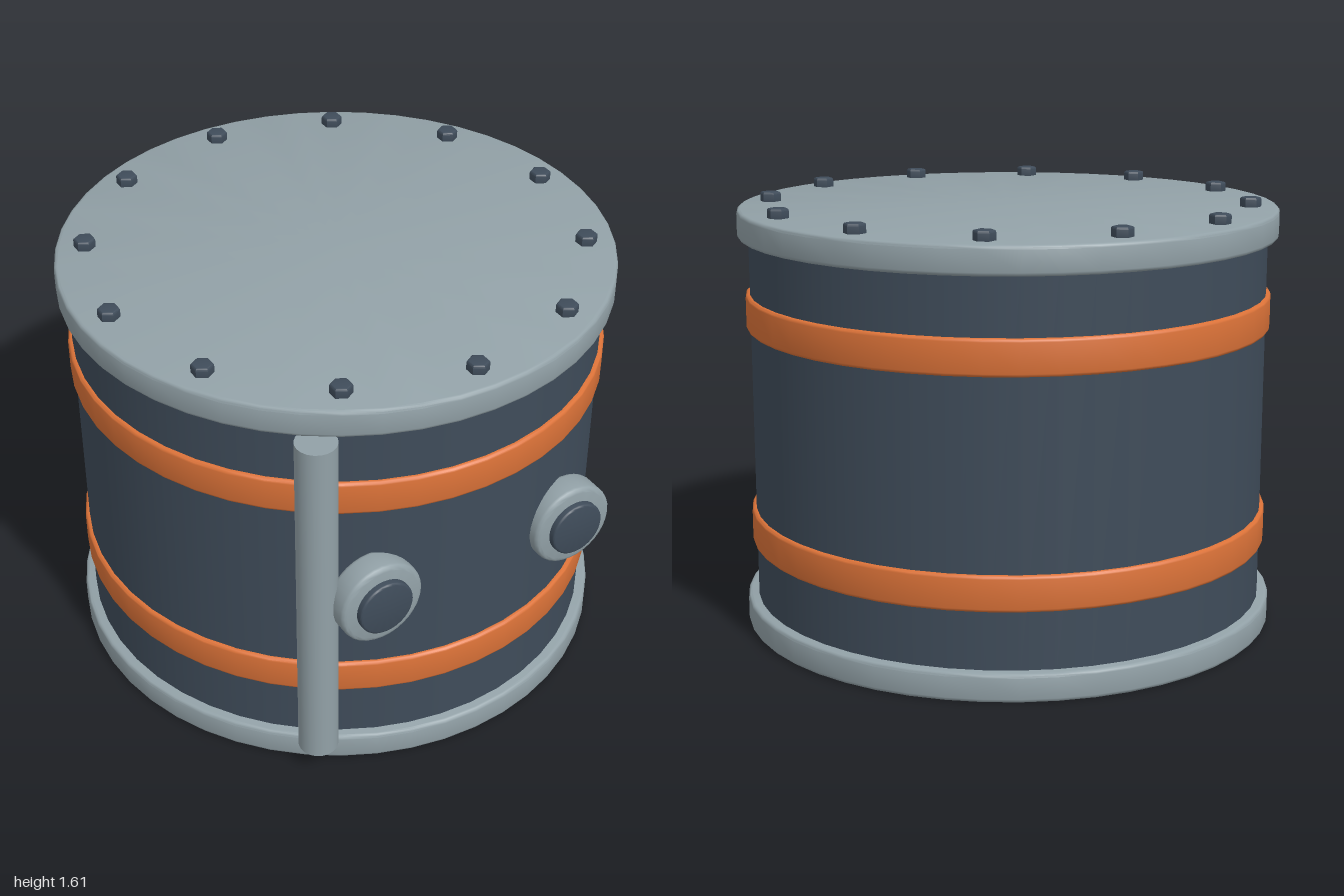
import * as THREE from 'three';
import { toCreasedNormals } from 'three/addons/utils/BufferGeometryUtils.js';

const mat = (name, color) => {
  const m = new THREE.MeshStandardMaterial({ color });
  m.name = name;
  return m;
};

// Solid disc from y = 0 to h with rounded rims of radius b
function roundedDisc(r, h, b, sides) {
  const pts = [new THREE.Vector2(0, 0)];
  const steps = 3;
  for (let i = 0; i <= steps; i++) {
    const a = (i / steps) * Math.PI / 2;
    pts.push(new THREE.Vector2(r - b + b * Math.sin(a), b - b * Math.cos(a)));
  }
  for (let i = 0; i <= steps; i++) {
    const a = (i / steps) * Math.PI / 2;
    pts.push(new THREE.Vector2(r - b + b * Math.cos(a), h - b + b * Math.sin(a)));
  }
  pts.push(new THREE.Vector2(0, h));
  return toCreasedNormals(new THREE.LatheGeometry(pts, sides), 0.7);
}

export function createModel() {
  const model = new THREE.Group();
  model.name = 'tank';
  const dark = mat('dark slate', 0x3f4c5a);
  const grey = mat('steel grey', 0x92a1a7);
  const orange = mat('band orange', 0xdb7238);

  const add = (name, geometry, material, x, y, z, parent = model) => {
    const m = new THREE.Mesh(geometry, material);
    m.name = name;
    m.position.set(x, y, z);
    parent.add(m);
    return m;
  };

  // Drum wall
  add('drumWall', new THREE.CylinderGeometry(0.96, 0.96, 1.38, 48, 1, true), dark, 0, 0.785, 0);

  // Base and lid flanges
  const flange = roundedDisc(1, 0.104, 0.014, 48);
  add('baseFlange', flange, grey, 0, 0, 0);
  add('lidFlange', flange, grey, 0, 1.466, 0);

  // Painted bands
  const band = roundedDisc(0.976, 0.13, 0.012, 48);
  add('lowerBand', band, orange, 0, 0.315, 0);
  add('upperBand', band, orange, 0, 1.128, 0);

  // Ring of hexagonal lid bolts
  const bolts = new THREE.Group();
  bolts.name = 'lidBolts';
  model.add(bolts);
  const bolt = roundedDisc(0.039, 0.05, 0.008, 6);
  for (let i = 0; i < 12; i++) {
    const a = (i / 12) * Math.PI * 2;
    add('bolt', bolt, dark, 0.893 * Math.sin(a), 1.555, 0.893 * Math.cos(a), bolts);
  }

  // Vertical pipe on the right front
  add('pipe', new THREE.CylinderGeometry(0.072, 0.072, 1.364, 20), grey, -0.58, 0.786, 0.84);

  // Two round ports facing the front
  const collar = roundedDisc(0.16, 0.105, 0.018, 32).rotateX(Math.PI / 2);
  const plug = roundedDisc(0.105, 0.055, 0.008, 32).rotateX(Math.PI / 2);
  for (const side of [-1, 1]) {
    const port = new THREE.Group();
    port.name = side < 0 ? 'rightPort' : 'leftPort';
    port.position.set(side * 0.398, 0.787, 0);
    model.add(port);
    add('portCollar', collar, grey, 0, 0, 0.866, port);
    add('portPlug', plug, dark, 0, 0, 0.942, port);
  }
  return model;
}
